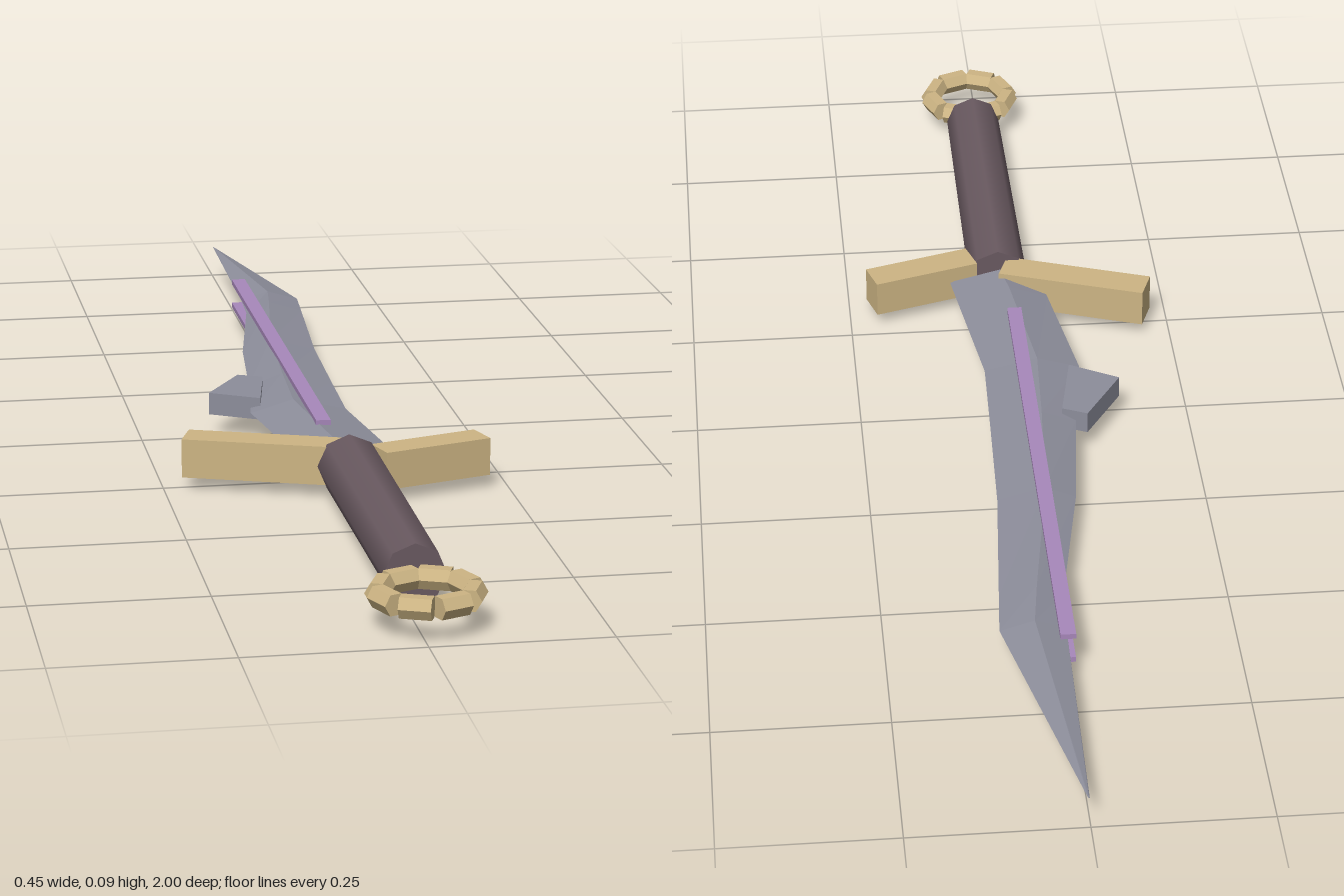
import * as THREE from 'three';

const material = (name, color, flat = true) => {
  const m = new THREE.MeshStandardMaterial({ color, flatShading: flat });
  m.name = name;
  return m;
};

// Diamond cross-sections joined along the blade: [z, left x, ridge x, right x, half thickness]
function bladeGeometry(stations, y) {
  const rings = stations.map(([z, l, m, r, h]) => [
    [l, y, z], [m, y + h, z], [r, y, z], [m, y - h, z],
  ]);
  const pos = [];
  const quad = (a, b, c, d) => pos.push(...a, ...b, ...c, ...a, ...c, ...d);
  for (let i = 0; i < rings.length - 1; i++) {
    const a = rings[i], b = rings[i + 1];
    for (let j = 0; j < 4; j++) {
      const k = (j + 1) % 4;
      quad(a[j], a[k], b[k], b[j]);
    }
  }
  const [l, t, r, b] = rings[0];
  quad(l, b, r, t);
  const g = new THREE.BufferGeometry();
  g.setAttribute('position', new THREE.Float32BufferAttribute(pos, 3));
  g.computeVertexNormals();
  return g;
}

export function createModel() {
  const steel = material('blade steel', 0x8d8e9b);
  const brass = material('pale brass', 0xcdb584);
  const leather = material('dark leather', 0x6a5a61, false);
  const violet = material('violet inlay', 0xa888bb);

  const model = new THREE.Group();
  model.name = 'sword';
  const add = (name, geometry, mat, x = 0, y = 0, z = 0, parent = model) => {
    const mesh = new THREE.Mesh(geometry, mat);
    mesh.name = name;
    mesh.position.set(x, y, z);
    parent.add(mesh);
    return mesh;
  };

  // Curved blade with a central ridge
  add('blade', bladeGeometry([
    [0.315, -0.05, 0.01, 0.09, 0.019],
    [0.26, -0.06, 0.0, 0.083, 0.019],
    [0.05, -0.09, -0.025, 0.056, 0.019],
    [-0.1, -0.07, -0.018, 0.06, 0.019],
    [-0.3, -0.05, -0.005, 0.066, 0.019],
    [-0.54, -0.008, 0.03, 0.084, 0.017],
    [-0.62, -0.004, 0.04, 0.09, 0.015],
    [-1, 0.002, 0.003, 0.004, 0.001],
  ], 0.05), steel);

  // Barb on the left edge
  const barb = new THREE.Shape([
    [-0.145, 0.012], [-0.072, -0.03], [-0.05, 0.09], [-0.087, 0.107],
  ].map(([x, y]) => new THREE.Vector2(x, y)));
  const barbGeometry = new THREE.ExtrudeGeometry(barb, { depth: 0.034, bevelEnabled: false });
  barbGeometry.rotateX(-Math.PI / 2);
  add('barb', barbGeometry, steel, 0, 0.033, 0);

  // Slim rails above and below the blade
  for (const [name, y] of [['upperInlay', 0.071], ['lowerInlay', 0.031]]) {
    add(name, new THREE.BoxGeometry(0.022, 0.008, 0.86), violet, -0.002, y, -0.24);
  }

  // Two swept guard arms
  add('guardRight', new THREE.BoxGeometry(0.234, 0.058, 0.052), brass,
    -0.105, 0.0475, 0.276).rotation.y = -0.345;
  add('guardLeft', new THREE.BoxGeometry(0.17, 0.056, 0.05), brass,
    0.134, 0.0475, 0.325).rotation.y = 0.298;

  // Eight-sided, slightly tapered grip
  const grip = new THREE.CylinderGeometry(0.0435, 0.0465, 0.51, 8);
  grip.rotateX(Math.PI / 2);
  add('grip', grip, leather, 0.012, 0.0465, 0.585);

  // Pommel ring made from eight hexagonal bars
  const ring = new THREE.Group();
  ring.name = 'pommelRing';
  ring.position.set(0.012, 0.0475, 0.9186);
  model.add(ring);
  const bar = new THREE.CylinderGeometry(0.0168, 0.0168, 0.044, 6);
  bar.rotateY(Math.PI / 2);
  bar.rotateX(Math.PI / 2);
  for (let i = 0; i < 8; i++) {
    const a = (i + 0.5) * Math.PI / 4;
    add('ringBar', bar, brass, Math.cos(a) * 0.0622, 0, -Math.sin(a) * 0.0622, ring).rotation.y = a;
  }
  return model;
}
